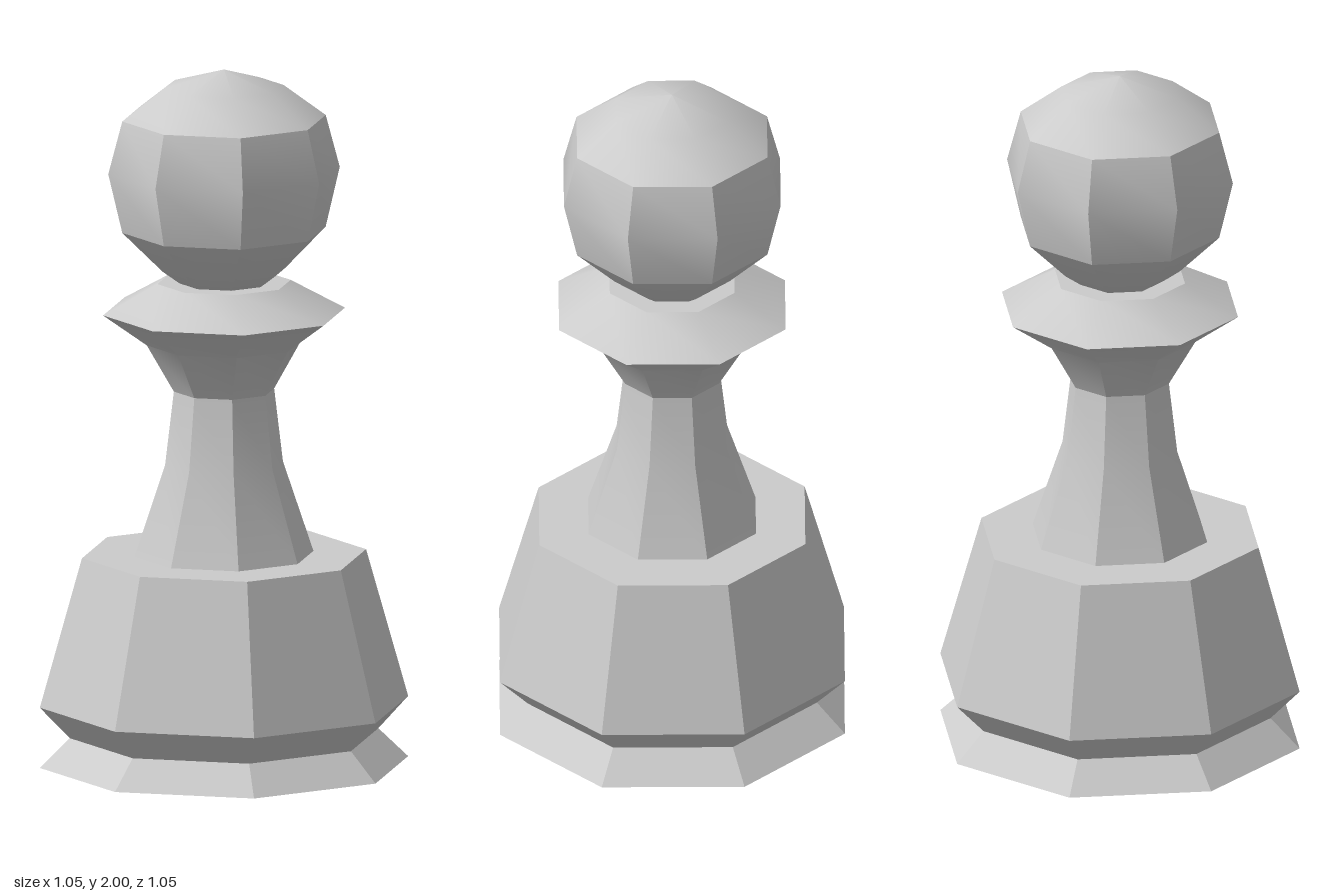
import * as THREE from 'three';
import { toCreasedNormals } from 'three/addons/utils/BufferGeometryUtils.js';

const SIDES = 8;
const CREASE = THREE.MathUtils.degToRad(30);

// Turn a profile of [radius, height] points, listed bottom to top, into an eight-sided part.
function turned(name, profile, material) {
  const points = profile.map(([r, y]) => new THREE.Vector2(r, y));
  const geometry = toCreasedNormals(new THREE.LatheGeometry(points, SIDES), CREASE);
  const mesh = new THREE.Mesh(geometry, material);
  mesh.name = name;
  return mesh;
}

export function createModel() {
  const group = new THREE.Group();
  group.name = 'chessPawn';
  const material = new THREE.MeshStandardMaterial({ color: 0xcccccc });

  // Flared foot, waist groove and tapered plinth; the underside bulges slightly
  group.add(turned('base', [
    [0, 0], [0.525, 0.012], [0.44, 0.095], [0.525, 0.185], [0.405, 0.61], [0, 0.61],
  ], material));

  // Stem narrowing upwards, then opening into the sharp collar
  group.add(turned('stemAndCollar', [
    [0.255, 0.61], [0.168, 0.87], [0.143, 1.08], [0.22, 1.215],
    [0.345, 1.305], [0.19, 1.39], [0, 1.39],
  ], material));

  // Faceted ball with a smooth dome
  group.add(turned('head', [
    [0, 1.38], [0.12, 1.385], [0.175, 1.425], [0.29, 1.54],
    [0.33, 1.71], [0.29, 1.86], [0.17, 1.95], [0, 2],
  ], material));

  return group;
}
